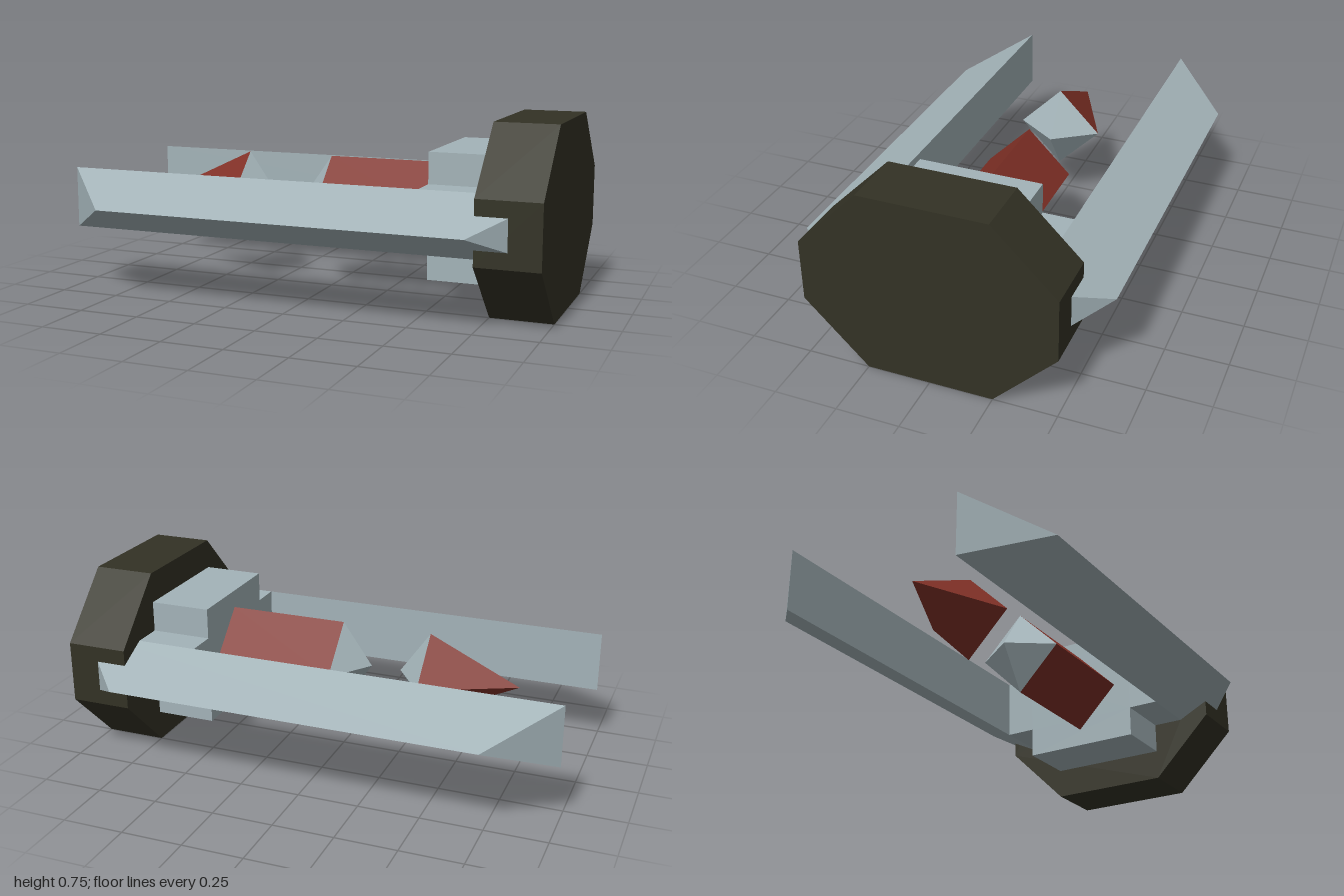
import * as THREE from 'three';
import { ConvexGeometry } from 'three/addons/geometries/ConvexGeometry.js';

const MID = 0.375; // height of the central axis
const R = 0.177;   // half diagonal of the core

export function createModel() {
  const model = new THREE.Group();
  model.name = 'prongedDevice';

  const paint = (name, color) => {
    const m = new THREE.MeshStandardMaterial({ color });
    m.name = name;
    return m;
  };
  const grey = paint('paleSteel', 0xa3b3b8);
  const red = paint('darkRed', 0x803026);
  const dark = paint('darkOlive', 0x333225);

  const add = (name, geometry, material) => {
    const mesh = new THREE.Mesh(geometry, material);
    mesh.name = name;
    model.add(mesh);
    return mesh;
  };

  // Four-sided prism or pyramid along x, with flat faces; r0 at x0, r1 at x1
  const diamond = (name, x0, x1, r0, r1, material) => {
    const g = new THREE.CylinderGeometry(r0, r1, x1 - x0, 4, 1, true)
      .rotateZ(Math.PI / 2).toNonIndexed();
    g.computeVertexNormals();
    add(name, g, material).position.set((x0 + x1) / 2, MID, 0);
  };

  // Octagonal end plate
  const outline = [[-0.25, 0], [0.25, 0], [0.5, 0.25], [0.5, 0.5],
    [0.25, 0.75], [-0.25, 0.75], [-0.5, 0.5], [-0.5, 0.25]];
  const plate = new THREE.ExtrudeGeometry(
    new THREE.Shape(outline.map(([z, y]) => new THREE.Vector2(z, y))),
    { depth: 0.25, bevelEnabled: false });
  plate.rotateY(Math.PI / 2).translate(0.75, 0, 0);
  add('endPlate', plate, dark);

  // Cross-shaped mounting block, made as one outline
  const cross = [[-0.25, 0.125], [0.25, 0.125], [0.25, 0.25], [0.375, 0.25],
    [0.375, 0.5], [0.25, 0.5], [0.25, 0.625], [-0.25, 0.625],
    [-0.25, 0.5], [-0.375, 0.5], [-0.375, 0.25], [-0.25, 0.25]];
  const block = new THREE.ExtrudeGeometry(
    new THREE.Shape(cross.map(([z, y]) => new THREE.Vector2(z, y))),
    { depth: 0.25, bevelEnabled: false });
  block.rotateY(Math.PI / 2).translate(0.5, 0, 0);
  add('mountingBlock', block, grey);

  // Side arms: flat inner face, outer ridge, slanted ends
  for (const [name, s] of [['frontArm', 1], ['backArm', -1]]) {
    const points = [];
    for (const x of [-1, 1]) {
      points.push(new THREE.Vector3(x, 0.25, s * 0.375));
      points.push(new THREE.Vector3(x, 0.5, s * 0.375));
      points.push(new THREE.Vector3(x * 0.75, MID, s * 0.625));
    }
    add(name, new ConvexGeometry(points), grey);
  }

  // Core with its pointed cap
  diamond('coreBody', 0, 0.5, R, R, red);
  diamond('coreCap', -0.125, 0, 0, R, grey);

  // Floating crystal tip
  diamond('crystalTip', -0.75, -0.375, 0, R, red);
  diamond('crystalBase', -0.375, -0.25, R, 0, grey);

  return model;
}
